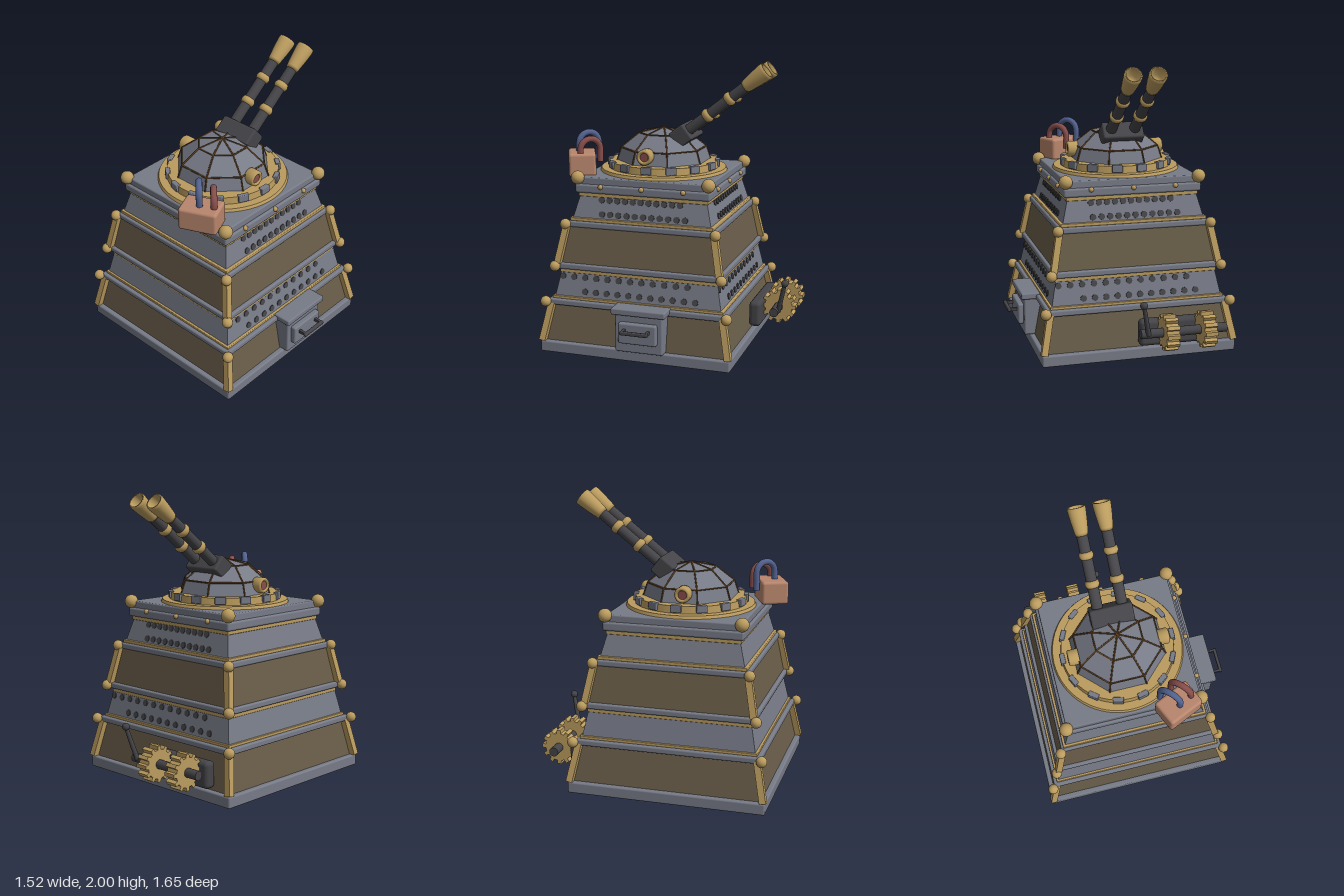
import * as THREE from 'three';
import { RoundedBoxGeometry } from 'three/addons/geometries/RoundedBoxGeometry.js';

const mat = (name, color) => {
  const m = new THREE.MeshStandardMaterial({ color });
  m.name = name;
  return m;
};

export function createModel() {
  const steel = mat('steel', 0x777b87);
  const brass = mat('brass', 0xbb9c5f);
  const panel = mat('brown panel', 0x695d49);
  const iron = mat('dark iron', 0x454549);
  const rib = mat('rib brown', 0x5c4024);
  const copper = mat('copper', 0xb8866d);
  const blue = mat('blue', 0x53628f);
  const red = mat('red', 0x874e4b);

  const model = new THREE.Group();
  const tower = new THREE.Group();
  tower.name = 'tower';
  tower.position.set(-0.064, 0, 0.126);
  model.add(tower);

  const add = (parent, name, geo, material, x = 0, y = 0, z = 0) => {
    const m = new THREE.Mesh(geo, material);
    m.name = name;
    m.position.set(x, y, z);
    parent.add(m);
    return m;
  };
  const flat = (geo) => {
    const g = geo.index ? geo.toNonIndexed() : geo;
    g.computeVertexNormals();
    return g;
  };
  const V = (x, y, z) => new THREE.Vector3(x, y, z);
  const UP = V(0, 1, 0);
  // Lay a y-axis geometry of the right length between two points
  const between = (parent, name, a, b, makeGeo, material) => {
    const mid = a.clone().add(b).multiplyScalar(0.5);
    const m = add(parent, name, makeGeo(a.distanceTo(b)), material, mid.x, mid.y, mid.z);
    m.quaternion.setFromUnitVectors(UP, b.clone().sub(a).normalize());
    return m;
  };
  const slab = (name, half, y0, y1, material, r = 0.012) =>
    add(tower, name, new RoundedBoxGeometry(half * 2, y1 - y0, half * 2, 2, r), material, 0, (y0 + y1) / 2, 0);

  // Base, tapered tiers, ledges and trim
  slab('base', 0.685, 0, 0.08, steel);
  const tiers = [
    [0.08, 0.345, 0.65, 0.6, panel], [0.37, 0.59, 0.605, 0.56, steel],
    [0.62, 0.88, 0.565, 0.52, panel], [0.91, 1.12, 0.505, 0.45, steel],
  ];
  for (const [y0, y1, h0, h1, m] of tiers) {
    const g = new THREE.CylinderGeometry(h1 * Math.SQRT2, h0 * Math.SQRT2, y1 - y0, 4);
    g.rotateY(Math.PI / 4);
    add(tower, 'tier', flat(g), m, 0, (y0 + y1) / 2, 0);
  }
  for (const [half, y0, y1] of [[0.64, 0.335, 0.378], [0.588, 0.583, 0.626], [0.532, 0.874, 0.917]])
    slab('ledge', half, y0, y1, steel);
  for (const [half, y0, y1] of [[0.615, 0.376, 0.397], [0.572, 0.557, 0.584], [0.515, 0.916, 0.94], [0.467, 1.084, 1.112]])
    slab('trim', half, y0, y1, brass, 0.005);
  slab('capFlange', 0.486, 1.11, 1.172, steel, 0.015);
  slab('cap', 0.468, 1.14, 1.22, steel, 0.01);

  // Corner bars and ball finials
  for (const sx of [-1, 1]) for (const sz of [-1, 1]) {
    for (const [h0, y0, h1, y1] of [[0.672, 0.08, 0.618, 0.345], [0.583, 0.625, 0.533, 0.88]])
      between(tower, 'cornerBar', V(sx * h0, y0, sz * h0), V(sx * h1, y1, sz * h1),
        (l) => new THREE.BoxGeometry(0.045, l, 0.045), brass);
    for (const [h, y, r] of [[0.652, 0.36, 0.037], [0.6, 0.605, 0.037], [0.54, 0.896, 0.037], [0.47, 1.215, 0.047]])
      add(tower, 'finial', new THREE.SphereGeometry(r, 20, 14), brass, sx * h, y, sz * h);
  }

  // Vent holes and rivets on the left side and on the back
  const rows = [[0.53, 0.55, -0.357, 12, 1], [0.435, 0.38, -0.417, 11, 1], [1.065, 0.296, -0.27, 11, 3], [0.97, 0.286, -0.312, 11, 3]];
  for (const turn of [0, Math.PI / 2]) {
    const side = new THREE.Group();
    side.name = 'ventSide';
    side.rotation.y = turn;
    tower.add(side);
    for (const [y, za, zb, n, t] of rows) {
      const [y0, y1, h0, h1] = tiers[t];
      const wall = h0 + ((h1 - h0) * (y - y0)) / (y1 - y0);
      for (let i = 0; i < n; i++) {
        const hole = add(side, 'ventHole', new THREE.CylinderGeometry(0.022, 0.022, 0.012, 12), iron,
          wall, y, za + ((zb - za) * i) / (n - 1));
        hole.rotation.z = -Math.PI / 2 + Math.atan2(h0 - h1, y1 - y0);
      }
    }
    for (const z of [-0.297, 0, 0.297])
      add(side, 'rivet', new THREE.SphereGeometry(0.018, 12, 8), brass, 0.486, 1.16, z);
  }

  // Turret ring with blocks
  add(tower, 'ringPlate', new THREE.CylinderGeometry(0.445, 0.455, 0.025, 64), brass, 0, 1.228, 0);
  add(tower, 'ringDrum', new THREE.CylinderGeometry(0.385, 0.39, 0.05, 64), brass, 0, 1.265, 0);
  for (let i = 0; i < 14; i++) {
    const a = ((i + 0.5) / 14) * Math.PI * 2;
    const block = add(tower, 'ringBlock', new RoundedBoxGeometry(0.075, 0.052, 0.035, 2, 0.006), steel,
      Math.sin(a) * 0.383, 1.272, Math.cos(a) * 0.383);
    block.rotation.y = a;
  }

  // Eight-sided dome with ribs
  const R = 0.35, H = 0.28, Y = 1.24;
  const dome = new THREE.SphereGeometry(R, 8, 3, 0, Math.PI * 2, 0, Math.PI / 2);
  dome.scale(1, H / R, 1);
  dome.rotateY(Math.PI / 8);
  add(tower, 'dome', flat(dome), steel, 0, Y, 0);
  const node = (i, j) => {
    const a = ((i + 0.5) * Math.PI) / 4, e = (j * Math.PI) / 6;
    return V(Math.sin(a) * Math.cos(e) * R, Y + Math.sin(e) * H, Math.cos(a) * Math.cos(e) * R);
  };
  const ribGeo = (l) => new THREE.CylinderGeometry(0.006, 0.006, l, 6);
  for (let i = 0; i < 8; i++) for (let j = 0; j < 3; j++) {
    between(tower, 'domeRib', node(i, j), node(i, j + 1), ribGeo, rib);
    if (j) between(tower, 'domeHoop', node(i, j), node(i + 1, j), ribGeo, rib);
  }

  // Portholes on both sides of the dome
  for (const s of [-1, 1]) {
    const port = new THREE.Group();
    port.name = 'porthole';
    port.position.set(s * 0.315, 1.355, 0.03);
    port.rotation.y = (s * Math.PI) / 2;
    tower.add(port);
    const rim = [[0.03, -0.04], [0.055, -0.04], [0.055, 0.025], [0.047, 0.035], [0.036, 0.035], [0.03, 0.025], [0.03, -0.04]];
    const g = new THREE.LatheGeometry(rim.map((p) => new THREE.Vector2(...p)), 24);
    add(port, 'portRim', g.rotateX(Math.PI / 2), brass);
    add(port, 'portGlass', new THREE.CylinderGeometry(0.032, 0.032, 0.05, 24).rotateX(Math.PI / 2), red);
  }

  // Twin guns on a tilted mount; local y runs along the barrels
  const guns = new THREE.Group();
  guns.name = 'guns';
  guns.position.set(-0.064, 1.952, -0.635);
  guns.rotation.x = -(Math.PI / 2 - 0.665);
  model.add(guns);
  const mount = add(guns, 'gunMount', new RoundedBoxGeometry(0.295, 0.13, 0.13, 2, 0.015), iron, 0, -0.76, 0);
  mount.position.z = -0.005;
  const muzzle = [[0, -0.19], [0.042, -0.19], [0.046, -0.17], [0.056, -0.09], [0.062, -0.02], [0.06, 0], [0.048, 0], [0.04, -0.07], [0, -0.07]];
  const collar = [[0.03, -0.024], [0.041, -0.024], [0.049, -0.008], [0.049, 0.008], [0.041, 0.024], [0.03, 0.024]];
  const lathe = (pts) => new THREE.LatheGeometry(pts.map((p) => new THREE.Vector2(...p)), 28);
  for (const x of [-0.084, 0.084]) {
    add(guns, 'barrel', new THREE.CylinderGeometry(0.038, 0.038, 0.58, 24), iron, x, -0.45, 0);
    add(guns, 'muzzle', lathe(muzzle), brass, x, 0, 0);
    for (const y of [-0.327, -0.525]) add(guns, 'collar', lathe(collar), brass, x, y, 0);
  }

  // Hatch with a handle on the left side
  const hatch = new THREE.Group();
  hatch.name = 'hatch';
  hatch.position.z = 0.068;
  model.add(hatch);
  add(hatch, 'hatchBody', new RoundedBoxGeometry(0.14, 0.27, 0.34, 2, 0.012), steel, 0.588, 0.215, 0);
  add(hatch, 'hatchHood', new RoundedBoxGeometry(0.14, 0.045, 0.385, 2, 0.01), steel, 0.61, 0.368, 0);
  add(hatch, 'hatchPanel', new RoundedBoxGeometry(0.06, 0.145, 0.27, 2, 0.012), steel, 0.666, 0.225, 0);
  add(hatch, 'handleGrip', new RoundedBoxGeometry(0.025, 0.026, 0.2, 2, 0.008), iron, 0.752, 0.25, 0);
  for (const s of [-1, 1])
    add(hatch, 'handlePost', new THREE.BoxGeometry(0.07, 0.022, 0.018), iron, 0.72, 0.25, s * 0.085);

  // Gear drive and lever on the back
  const drive = new THREE.Group();
  drive.name = 'gearDrive';
  model.add(drive);
  add(drive, 'driveBracket', new RoundedBoxGeometry(0.545, 0.185, 0.085, 3, 0.03), iron, -0.318, 0.193, -0.56);
  const gearShape = new THREE.Shape();
  for (let i = 0; i < 12; i++)
    for (const [f, r] of [[-0.28, 0.1], [-0.2, 0.125], [0.2, 0.125], [0.28, 0.1]]) {
      const a = ((i + f) / 12) * Math.PI * 2;
      gearShape[i || f > -0.28 ? 'lineTo' : 'moveTo'](Math.cos(a) * r, Math.sin(a) * r);
    }
  gearShape.closePath();
  const gearGeo = new THREE.ExtrudeGeometry(gearShape, { depth: 0.088, bevelEnabled: false });
  gearGeo.translate(0, 0, -0.044).rotateY(Math.PI / 2);
  for (const x of [-0.478, -0.214]) add(drive, 'gear', gearGeo, brass, x, 0.232, -0.708);
  add(drive, 'axle', new THREE.CylinderGeometry(0.032, 0.032, 0.605, 20).rotateZ(Math.PI / 2), iron, -0.318, 0.232, -0.708);
  between(drive, 'lever', V(-0.065, 0.23, -0.73), V(-0.015, 0.455, -0.785), (l) => new THREE.CylinderGeometry(0.014, 0.018, l, 12), iron);
  add(drive, 'leverKnob', new THREE.SphereGeometry(0.026, 16, 12), iron, -0.015, 0.457, -0.785);

  // Padlock with two shackles on the front corner
  const lock = add(model, 'padlockBody', new RoundedBoxGeometry(0.265, 0.162, 0.19, 3, 0.02), copper, 0.23, 1.288, 0.635);
  lock.rotation.y = 0.42;
  for (const [m, x, z, top] of [[blue, 0.178, 0.602, 1.497], [red, 0.265, 0.556, 1.463]]) {
    const r = 0.075, pts = [V(-r, 1.3, 0), V(-r, (1.3 + top - r) / 2, 0)];
    for (let i = 0; i <= 8; i++) {
      const a = Math.PI * (1 - i / 8);
      pts.push(V(Math.cos(a) * r, top - r + Math.sin(a) * r, 0));
    }
    pts.push(V(r, (1.3 + top - r) / 2, 0), V(r, 1.3, 0));
    const shackle = add(model, 'shackle', new THREE.TubeGeometry(new THREE.CatmullRomCurve3(pts), 40, 0.022, 12), m, x, 0, z);
    shackle.rotation.y = -Math.PI / 4;
  }
  return model;
}
